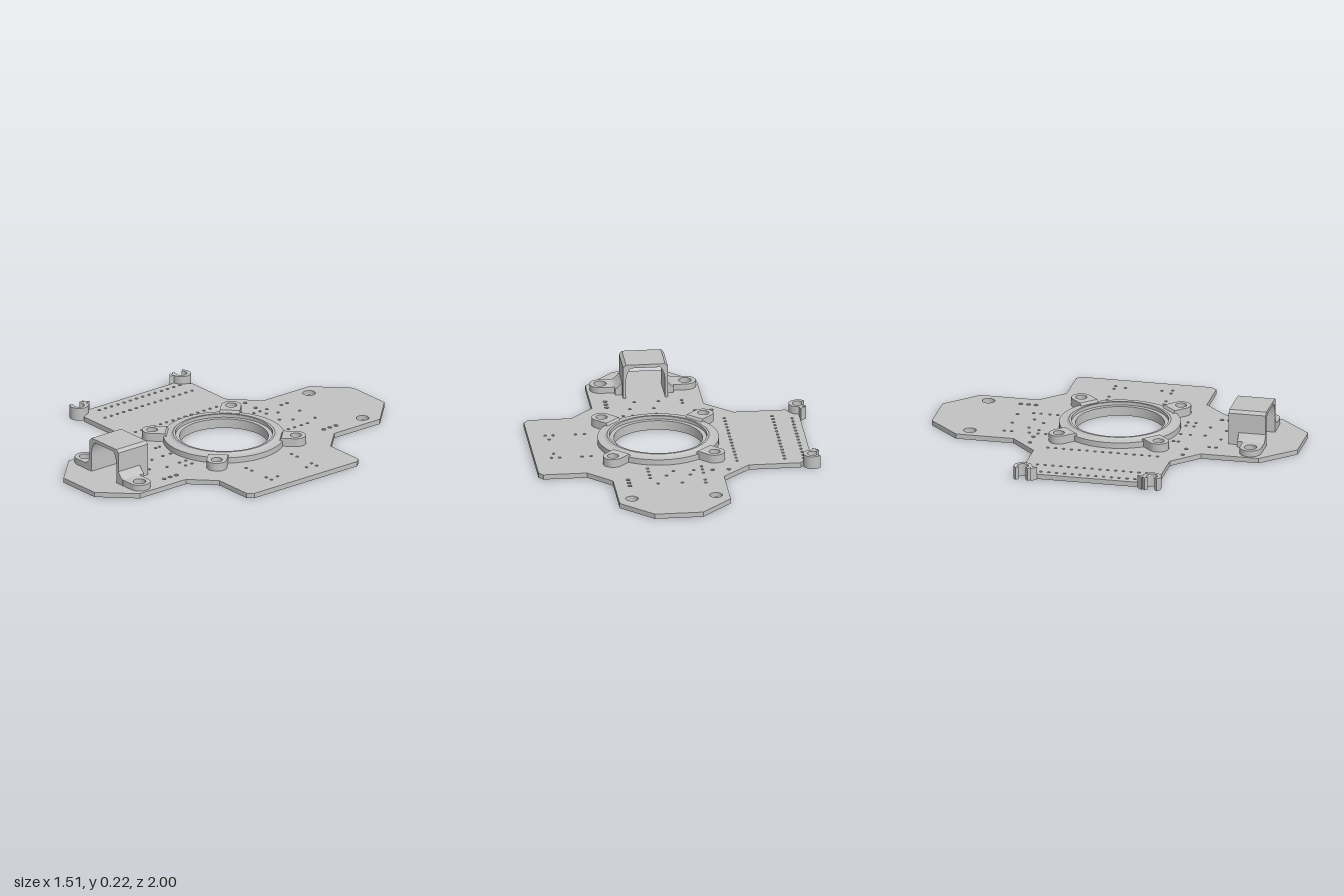
import * as THREE from 'three';
import { toCreasedNormals } from 'three/addons/utils/BufferGeometryUtils.js';

const plateTop = 0.027;
const ringX = 0.075;

// Shape from [x, z] points listed counter-clockwise from above
function flatShape(points) {
  return new THREE.Shape(points.map(([x, z]) => new THREE.Vector2(x, -z)));
}

// Round hole, wound clockwise
function drill(shape, x, z, r, sides = 10) {
  const points = [];
  for (let i = 0; i < sides; i++) {
    const a = -i / sides * Math.PI * 2;
    points.push(new THREE.Vector2(x + r * Math.cos(a), -z + r * Math.sin(a)));
  }
  shape.holes.push(new THREE.Path(points));
}

// Extrudes a flat shape upwards from y0 to y1
function slab(shape, y0, y1) {
  const g = new THREE.ExtrudeGeometry(shape, { depth: y1 - y0, bevelEnabled: false, curveSegments: 20 });
  return g.rotateX(-Math.PI / 2).translate(0, y0, 0);
}

// Extrudes a front profile from z0 to z1
function prism(shape, z0, z1) {
  return new THREE.ExtrudeGeometry(shape, { depth: z1 - z0, bevelEnabled: false, curveSegments: 16 }).translate(0, 0, z0);
}

// Rounded lug: straight at x = start, semicircle around x = end, with a bolt hole
function lugShape(start, end, z, r, holeR) {
  const side = Math.sign(end - start);
  const from = -side * Math.PI / 2;
  const s = new THREE.Shape();
  s.moveTo(start, -z - side * r);
  s.lineTo(end, -z - side * r);
  s.absarc(end, -z, r, from, from + Math.PI, false);
  s.lineTo(start, -z + side * r);
  s.closePath();
  drill(s, end, z, holeR, 24);
  return s;
}

export function createModel() {
  const model = new THREE.Group();
  model.name = 'mountingPlate';
  const grey = new THREE.MeshStandardMaterial({ color: 0xc2c2c2 });
  grey.name = 'grey';

  function add(name, geometry, parent = model) {
    const mesh = new THREE.Mesh(toCreasedNormals(geometry, 0.35), grey);
    mesh.name = name;
    parent.add(mesh);
    return mesh;
  }

  // Cross-shaped base plate
  const plate = flatShape([
    [-0.055, -1], [-0.222, -0.83], [-0.222, -0.515], [-0.37, -0.373], [-0.65, -0.373], [-0.69, -0.31],
    [-0.715, -0.3], [-0.715, 0.3], [-0.69, 0.31], [-0.65, 0.373], [-0.37, 0.373], [-0.226, 0.51],
    [-0.226, 0.825], [-0.055, 1], [0.205, 1], [0.374, 0.825], [0.374, 0.507], [0.5, 0.38],
    [0.73, 0.38], [0.758, 0.348], [0.758, -0.36], [0.735, -0.388], [0.5, -0.388], [0.375, -0.515],
    [0.375, -0.83], [0.205, -1],
  ]);
  drill(plate, ringX, 0, 0.237, 72);

  // Bolt holes
  for (const [x, z] of [[-0.15, -0.77], [0.302, -0.77], [-0.155, 0.764], [0.3, 0.764]]) drill(plate, x, z, 0.034, 24);
  for (const sx of [-1, 1]) for (const sz of [-1, 1]) drill(plate, ringX + sx * 0.273, sz * 0.273, 0.03, 24);

  // Long pin rows
  for (const [x, n] of [[-0.672, 14], [-0.57, 15], [-0.313, 15]]) {
    for (let i = 0; i < n; i++) drill(plate, x, -0.307 + i * 0.0428, 0.0085);
  }
  // Pin holes on the back and front arms
  const pins = [
    [-0.115, -0.59], [-0.115, -0.55], [0.01, -0.575], [0.14, -0.575], [-0.045, -0.47], [0.083, -0.47],
    [-0.117, -0.453], [-0.117, -0.405], [-0.117, -0.363], [-0.07, -0.41], [0.04, -0.41],
    [0.173, -0.495], [0.173, -0.453], [0.173, -0.405], [0.173, -0.363],
    [-0.07, 0.325], [-0.07, 0.352], [0.04, 0.34], [0.04, 0.393], [0.168, 0.34], [0.22, 0.34],
    [0.168, 0.383], [0.22, 0.383], [0.045, 0.473], [0.173, 0.473], [-0.115, 0.53], [-0.115, 0.568],
    [0.01, 0.568], [0.14, 0.568],
  ];
  for (const [x, z] of pins) drill(plate, x, z, 0.0085);
  // Mirrored holes
  for (const s of [-1, 1]) {
    for (const x of [0.453, 0.501, 0.622, 0.665]) drill(plate, x, s * 0.156, 0.0085);
    drill(plate, 0.649, s * 0.1, 0.0085);
    for (const z of [0.508, 0.55, 0.592]) drill(plate, 0.294, s * z, 0.012);
    for (const x of [-0.258, -0.171]) drill(plate, x, s * 0.418, 0.011);
  }
  add('basePlate', slab(plate, 0, plateTop));

  // Ring around the opening: outer shoulder, raised lip and inner step
  const ringProfile = [
    [0.325, plateTop], [0.325, 0.058], [0.295, 0.058], [0.283, 0.061], [0.272, 0.07],
    [0.26, 0.07], [0.26, 0.052], [0.237, 0.052], [0.237, plateTop],
  ].map(([r, y]) => new THREE.Vector2(r, y));
  const ring = add('ring', new THREE.LatheGeometry(ringProfile, 72));
  ring.position.x = ringX;

  // Four bolt lugs around the ring, with sloped inner ends
  for (let i = 0; i < 4; i++) {
    const g = slab(lugShape(0.285, 0.386, 0, 0.054, 0.03), plateTop, 0.072);
    const p = g.attributes.position;
    for (let k = 0; k < p.count; k++) {
      if (p.getX(k) < 0.29 && p.getY(k) > 0.05) p.setX(k, 0.312);
    }
    const lug = add('ringLug', g);
    lug.position.x = ringX;
    lug.rotation.y = Math.PI / 4 + i * Math.PI / 2;
  }

  // Open clips with a small barb at the right-hand corners
  for (const s of [-1, 1]) {
    const a = Math.PI * 0.77;
    const c = new THREE.Shape();
    c.absarc(-0.715, -s * 0.353, 0.05, -a, a, false);
    c.absarc(-0.715, -s * 0.353, 0.029, a, -a, true);
    c.closePath();
    add('cornerClip', slab(c, 0, 0.07));
    const barb = flatShape([[-0.752, s * 0.303], [-0.715, s * 0.309], [-0.722, s * 0.275]]);
    add('clipBarb', slab(barb, 0, 0.07));
  }

  // Arched bracket on the front arm
  const bracket = new THREE.Group();
  bracket.name = 'bracket';
  model.add(bracket);
  const arch = new THREE.Shape();
  arch.moveTo(-0.048, plateTop);
  arch.lineTo(-0.033, plateTop);
  arch.lineTo(-0.033, 0.115);
  arch.quadraticCurveTo(-0.033, 0.17, -0.006, 0.2);
  arch.lineTo(0.151, 0.2);
  arch.quadraticCurveTo(0.178, 0.17, 0.178, 0.115);
  arch.lineTo(0.178, plateTop);
  arch.lineTo(0.193, plateTop);
  arch.lineTo(0.193, 0.203);
  arch.lineTo(0.177, 0.219);
  arch.lineTo(-0.032, 0.219);
  arch.lineTo(-0.048, 0.203);
  arch.closePath();
  add('bracketArch', prism(arch, 0.622, 0.825), bracket);

  // Bracket feet and gussets on both sides
  for (const [side, wall, boltX] of [[-1, -0.045, -0.155], [1, 0.19, 0.3]]) {
    add('bracketFoot', slab(lugShape(wall, boltX, 0.766, 0.058, 0.034), plateTop, 0.06), bracket);
    const gusset = new THREE.Shape([
      [wall, plateTop], [wall + side * 0.04, plateTop], [wall + side * 0.04, 0.06],
      [wall + side * 0.022, 0.072], [wall, 0.1],
    ].map(([x, y]) => new THREE.Vector2(x, y)));
    add('bracketGusset', prism(gusset, 0.677, 0.825), bracket);
  }
  return model;
}
